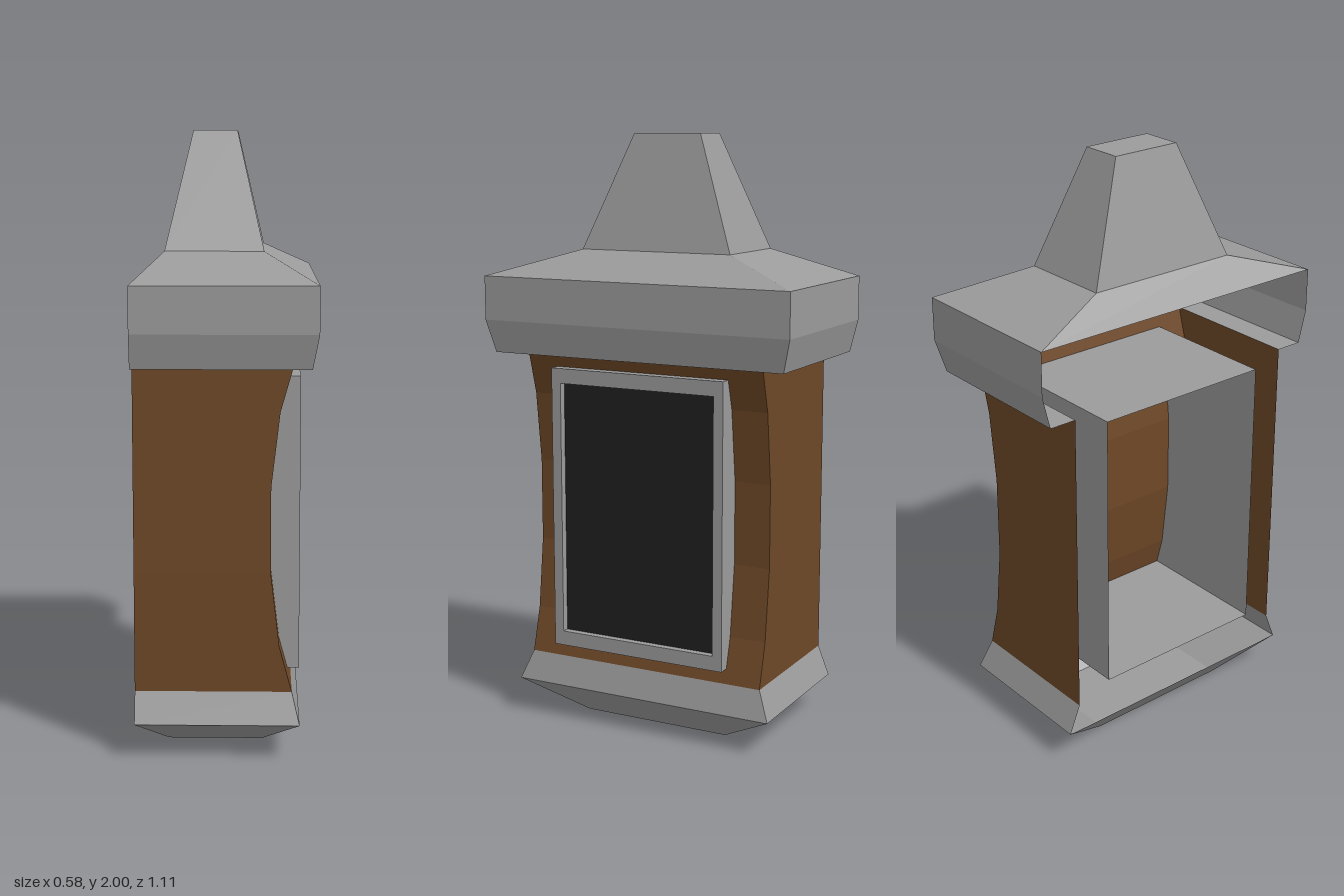
import * as THREE from 'three';

const BACK = -0.29; // open rear side, where the shell sits flat against a wall

function material(color) {
  return new THREE.MeshStandardMaterial({ color, flatShading: true, side: THREE.DoubleSide });
}

// Shell through rectangular rings [y, x0, x1, halfDepth], bottom to top.
// The rear stays open wherever both rings lie on the BACK plane.
function shell(name, rings, mat, { bottom = false, top = false } = {}) {
  const pos = [];
  const quad = (a, b, c, d) => pos.push(...a, ...b, ...c, ...a, ...c, ...d);
  const corners = ([y, x0, x1, z]) => [[x0, y, z], [x1, y, z], [x1, y, -z], [x0, y, -z]];
  for (let i = 0; i < rings.length - 1; i++) {
    const lo = corners(rings[i]), hi = corners(rings[i + 1]);
    const closed = rings[i][1] !== BACK || rings[i + 1][1] !== BACK;
    for (let k = 0; k < (closed ? 4 : 3); k++) {
      const n = (k + 1) % 4;
      quad(lo[k], lo[n], hi[n], hi[k]);
    }
  }
  if (bottom) quad(...corners(rings[0]).reverse());
  if (top) quad(...corners(rings[rings.length - 1]));
  const geo = new THREE.BufferGeometry();
  geo.setAttribute('position', new THREE.Float32BufferAttribute(pos, 3));
  geo.computeVertexNormals();
  const mesh = new THREE.Mesh(geo, mat);
  mesh.name = name;
  return mesh;
}

export function createModel() {
  const group = new THREE.Group();
  group.name = 'wallLantern';
  const grey = material(0x9b9b9b);
  const wood = material(0x6e4827);
  const dark = material(0x202020);

  // Tapered foot
  group.add(shell('base', [
    [0, -0.19, 0.12, 0.265],
    [0.12, BACK, 0.24, 0.473],
    [0.22, BACK, 0.215, 0.433],
  ], grey, { bottom: true }));

  // Wooden body with a hollowed front
  const curve = [[0.22, 0.215], [0.37, 0.174], [0.61, 0.146], [0.89, 0.146], [1.13, 0.174], [1.275, 0.215]];
  group.add(shell('body', curve.map(([y, x]) => [y, BACK, x, 0.433]), wood));

  // Overhanging cap with its underside and roof slope
  group.add(shell('cap', [
    [1.275, BACK, 0.215, 0.433],
    [1.275, BACK, 0.27, 0.527],
    [1.385, BACK, 0.29, 0.555],
    [1.532, BACK, 0.29, 0.555],
    [1.62, -0.195, 0.122, 0.272],
  ], grey));

  // Tapered chimney on the roof
  group.add(shell('chimney', [
    [1.62, -0.195, 0.122, 0.272],
    [2, -0.107, 0.035, 0.122],
  ], grey, { top: true }));

  // Window: casing open at the rear, raised frame and recessed dark pane
  const front = 0.24, recess = 0.025, height = 0.963, width = 0.636, rim = 0.05, side = 0.034;
  const windowGroup = new THREE.Group();
  windowGroup.name = 'window';
  windowGroup.position.set(0, 0.749, 0.011);

  // A four-sided open tube turned by 45 degrees makes the casing walls
  const depth = front - recess - BACK;
  const casing = new THREE.Mesh(
    new THREE.CylinderGeometry(Math.SQRT1_2, Math.SQRT1_2, depth, 4, 1, true)
      .rotateY(Math.PI / 4).rotateZ(-Math.PI / 2).scale(1, height, width), grey);
  casing.name = 'casing';
  casing.position.x = BACK + depth / 2;

  const rect = (Type, w, h) => new Type([[-w, -h], [w, -h], [w, h], [-w, h]]
    .map(([x, y]) => new THREE.Vector2(x / 2, y / 2)));
  const outline = rect(THREE.Shape, width, height);
  outline.holes.push(rect(THREE.Path, width - 2 * side, height - 2 * rim));
  const frame = new THREE.Mesh(
    new THREE.ExtrudeGeometry(outline, { depth: recess, bevelEnabled: false }).rotateY(Math.PI / 2), grey);
  frame.name = 'frame';
  frame.position.x = front - recess;

  const pane = new THREE.Mesh(
    new THREE.PlaneGeometry(width - 2 * side, height - 2 * rim).rotateY(Math.PI / 2), dark);
  pane.name = 'pane';
  pane.position.x = front - recess;

  windowGroup.add(casing, frame, pane);
  group.add(windowGroup);
  return group;
}
